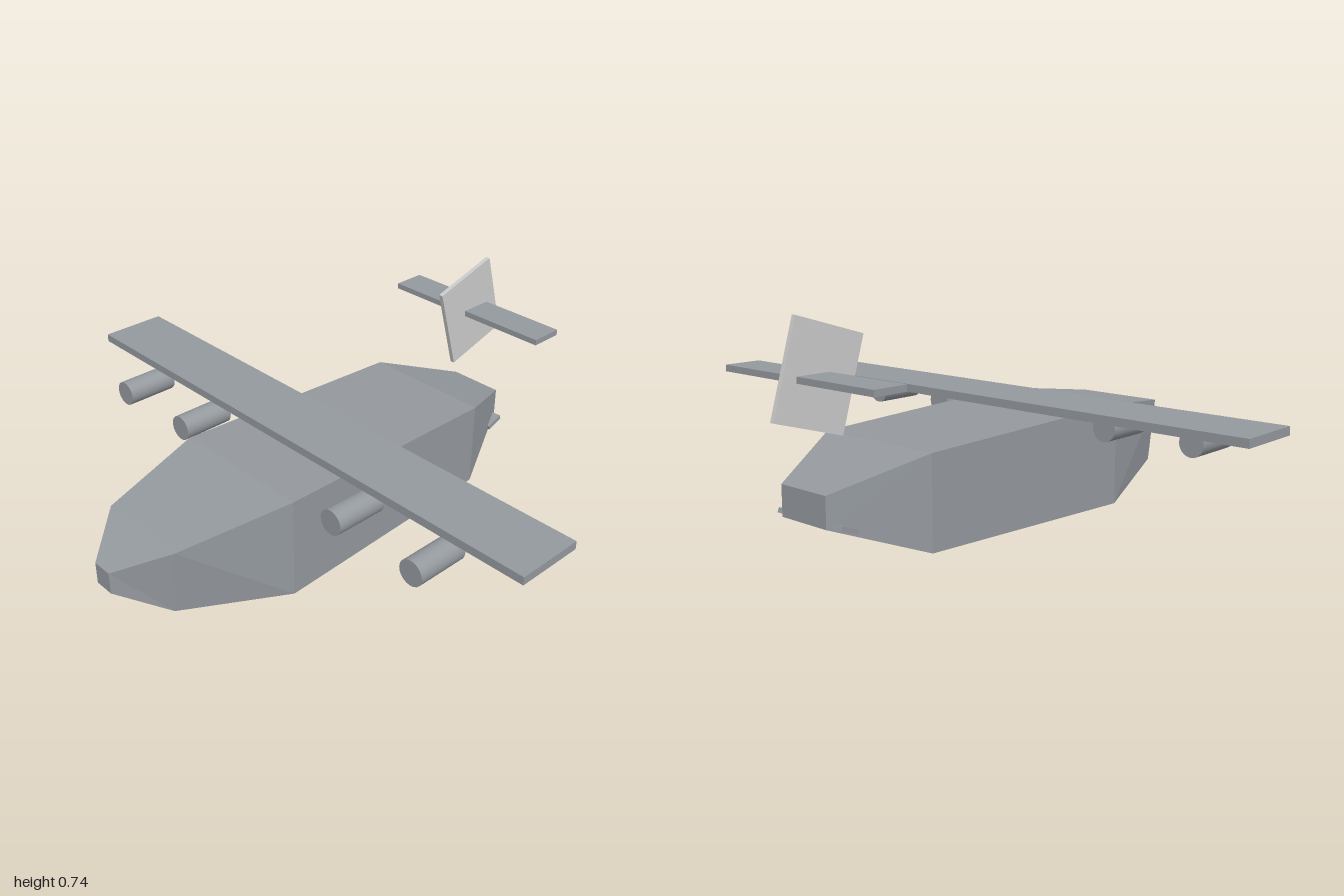
import * as THREE from 'three';

const bodyGrey = new THREE.MeshStandardMaterial({ color: 0x94999e });
bodyGrey.name = 'bodyGrey';
const finGrey = new THREE.MeshStandardMaterial({ color: 0xcacaca });
finGrey.name = 'finGrey';

// Rectangular cross-sections, nose to tail: z, bottom half width, top half width, bottom y, top y
const SECTIONS = [
  [0.9, 0.035, 0.035, 0.165, 0.24],
  [0.75, 0.14, 0.165, 0.075, 0.308],
  [0.37, 0.258, 0.258, 0, 0.355],
  [-0.51, 0.235, 0.235, 0.025, 0.33],
  [-0.8, 0.1, 0.1, 0.135, 0.235],
];

function fuselageGeometry() {
  const rings = SECTIONS.map(([z, wb, wt, y0, y1]) => [
    [wb, y0, z], [wt, y1, z], [-wt, y1, z], [-wb, y0, z],
  ]);
  const pos = [];
  const tri = (a, b, c) => pos.push(...a, ...b, ...c);
  for (let i = 0; i < rings.length - 1; i++) {
    const f = rings[i], b = rings[i + 1];
    for (let j = 0; j < 4; j++) {
      const k = (j + 1) % 4;
      if (j === 0) { // left side, diagonal from upper front to lower back
        tri(f[j], b[j], f[k]);
        tri(b[j], b[k], f[k]);
      } else {
        tri(f[j], b[j], b[k]);
        tri(f[j], b[k], f[k]);
      }
    }
  }
  // Nose and tail caps
  const n = rings[0], t = rings[rings.length - 1];
  tri(n[0], n[1], n[2]);
  tri(n[0], n[2], n[3]);
  tri(t[0], t[2], t[1]);
  tri(t[0], t[3], t[2]);
  const g = new THREE.BufferGeometry();
  g.setAttribute('position', new THREE.Float32BufferAttribute(pos, 3));
  g.computeVertexNormals();
  return g;
}

export function createModel() {
  const model = new THREE.Group();
  model.name = 'airplane';

  const add = (name, geometry, material, x, y, z, tilt = 0) => {
    const mesh = new THREE.Mesh(geometry, material);
    mesh.name = name;
    mesh.position.set(x, y, z);
    mesh.rotation.x = tilt;
    model.add(mesh);
  };

  add('fuselage', fuselageGeometry(), bodyGrey, 0, 0, 0);
  add('wing', new THREE.BoxGeometry(2, 0.028, 0.236), bodyGrey, 0, 0.394, 0.078);

  // Four engines hung below the wing
  const engine = new THREE.CylinderGeometry(0.044, 0.044, 0.186, 20).rotateX(Math.PI / 2);
  for (const side of [1, -1]) {
    add('innerEngine', engine, bodyGrey, side * 0.376, 0.32, 0.231);
    add('outerEngine', engine, bodyGrey, side * 0.706, 0.32, 0.231);
  }

  // Tail surfaces
  add('fin', new THREE.BoxGeometry(0.016, 0.308, 0.26), finGrey, 0, 0.556, -0.732, 0.288);
  add('tailplane', new THREE.BoxGeometry(0.66, 0.02, 0.12), bodyGrey, 0, 0.557, -0.756);
  add('tailBar', new THREE.BoxGeometry(0.29, 0.016, 0.066), bodyGrey, 0, 0.132, -0.75, 0.38);

  return model;
}
